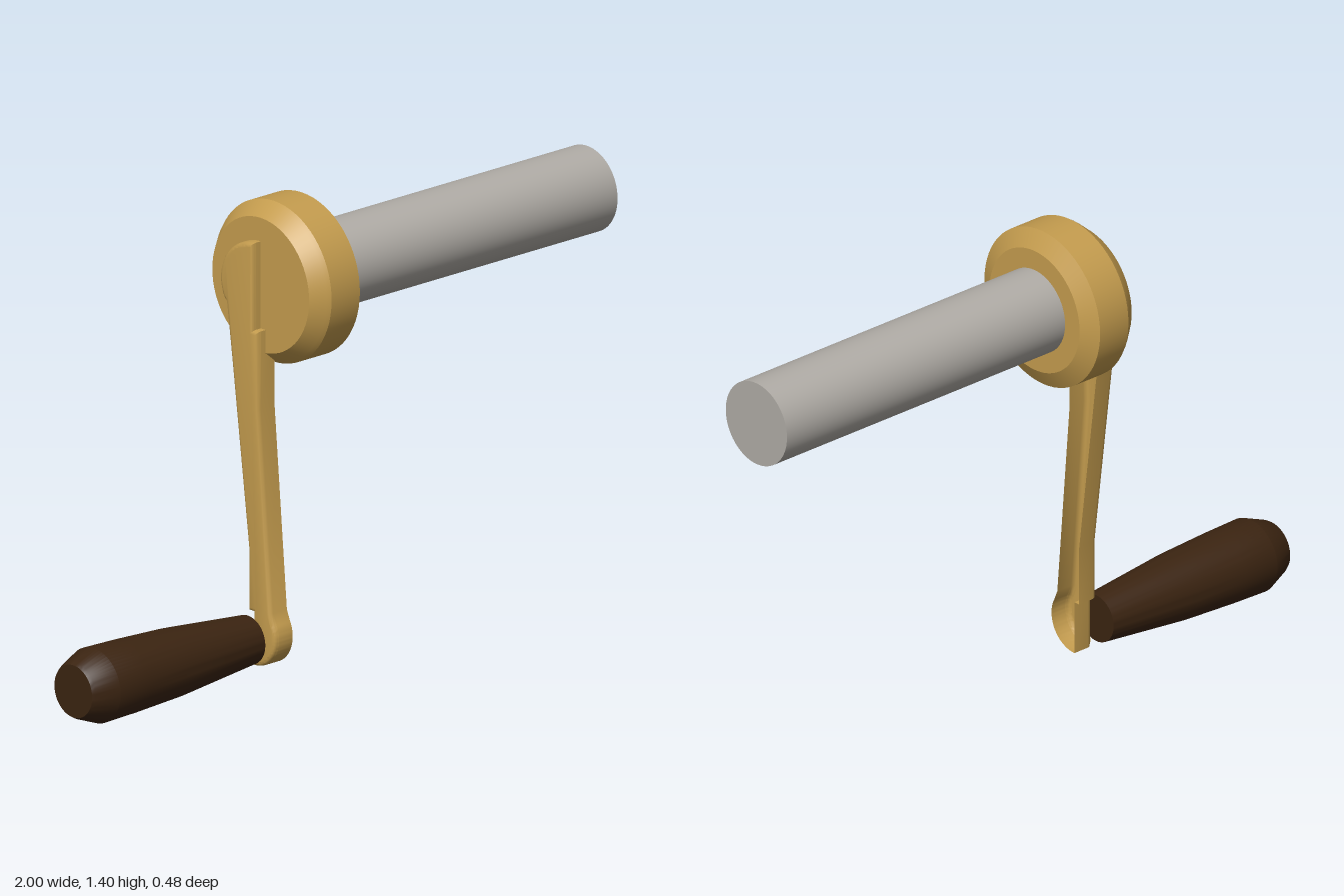
import * as THREE from 'three';
import { toCreasedNormals } from 'three/addons/utils/BufferGeometryUtils.js';

const brass = new THREE.MeshStandardMaterial({ color: 0xc49c4e });
brass.name = 'brass';
const openBrass = brass;
openBrass.side = THREE.DoubleSide;
const steel = new THREE.MeshStandardMaterial({ color: 0xb0aca6 });
steel.name = 'steel';
const wood = new THREE.MeshStandardMaterial({ color: 0x3b2411 });
wood.name = 'dark wood';

// Turned part around the x axis; profile is [radius, x] with x increasing
function turned(name, profile, y, material) {
  const points = profile.map(([r, x]) => new THREE.Vector2(r, x));
  const geometry = toCreasedNormals(new THREE.LatheGeometry(points, 64), 0.4);
  geometry.rotateZ(-Math.PI / 2);
  const mesh = new THREE.Mesh(geometry, material);
  mesh.name = name;
  mesh.position.y = y;
  return mesh;
}

// Hollow S-shaped arm: half a boss at each end, open towards +x
function crankArm() {
  const s = new THREE.Shape();
  s.moveTo(0, 0.03);
  s.lineTo(0, 0.19);
  s.lineTo(0.02, 0.19);
  s.lineTo(0.02, 0.37);
  s.lineTo(0.09, 0.92);
  s.lineTo(0.113, 1.09);
  s.absellipse(0, 1.16, 0.138, 0.13, -0.5, Math.PI / 2, false);
  s.lineTo(0, 1.03);
  s.lineTo(-0.02, 1.03);
  s.lineTo(-0.02, 0.8);
  s.lineTo(-0.071, 0.2);
  s.absellipse(0, 0.125, 0.095, 0.095, Math.PI * 0.84, Math.PI * 1.5, false);
  const depth = 0.053;
  const extruded = new THREE.ExtrudeGeometry(s, {
    depth, curveSegments: 16, bevelEnabled: true, bevelSegments: 3,
    bevelThickness: 0.014, bevelSize: 0.012, bevelOffset: -0.012,
  });

  // Leave out the cover on the shaft side
  const p = extruded.attributes.position;
  const kept = [];
  for (let i = 0; i < p.count; i += 3) {
    if (Math.max(p.getZ(i), p.getZ(i + 1), p.getZ(i + 2)) > depth + 1e-4) continue;
    for (let j = i; j < i + 3; j++) kept.push(p.getX(j), p.getY(j), p.getZ(j));
  }
  const shell = new THREE.BufferGeometry();
  shell.setAttribute('position', new THREE.Float32BufferAttribute(kept, 3));
  const geometry = toCreasedNormals(shell, 0.6);
  geometry.rotateY(Math.PI / 2);
  geometry.translate(-0.288, 0, 0);
  const mesh = new THREE.Mesh(geometry, openBrass);
  mesh.name = 'crankArm';
  return mesh;
}

export function createModel() {
  const group = new THREE.Group();
  group.name = 'handCrank';
  group.add(
    turned('shaft', [[0, -0.1], [0.127, -0.1], [0.127, 1], [0, 1]], 1.16, steel),
    turned('collar', [
      [0, -0.27], [0.2, -0.27], [0.232, -0.232], [0.24, -0.22],
      [0.24, -0.11], [0.187, -0.08], [0, -0.08],
    ], 1.16, brass),
    crankArm(),
    turned('handle', [
      [0, -1], [0.078, -1], [0.084, -0.99], [0.111, -0.92],
      [0.108, -0.8], [0.1, -0.62], [0.072, -0.32], [0, -0.32],
    ], 0.112, wood),
  );
  return group;
}
